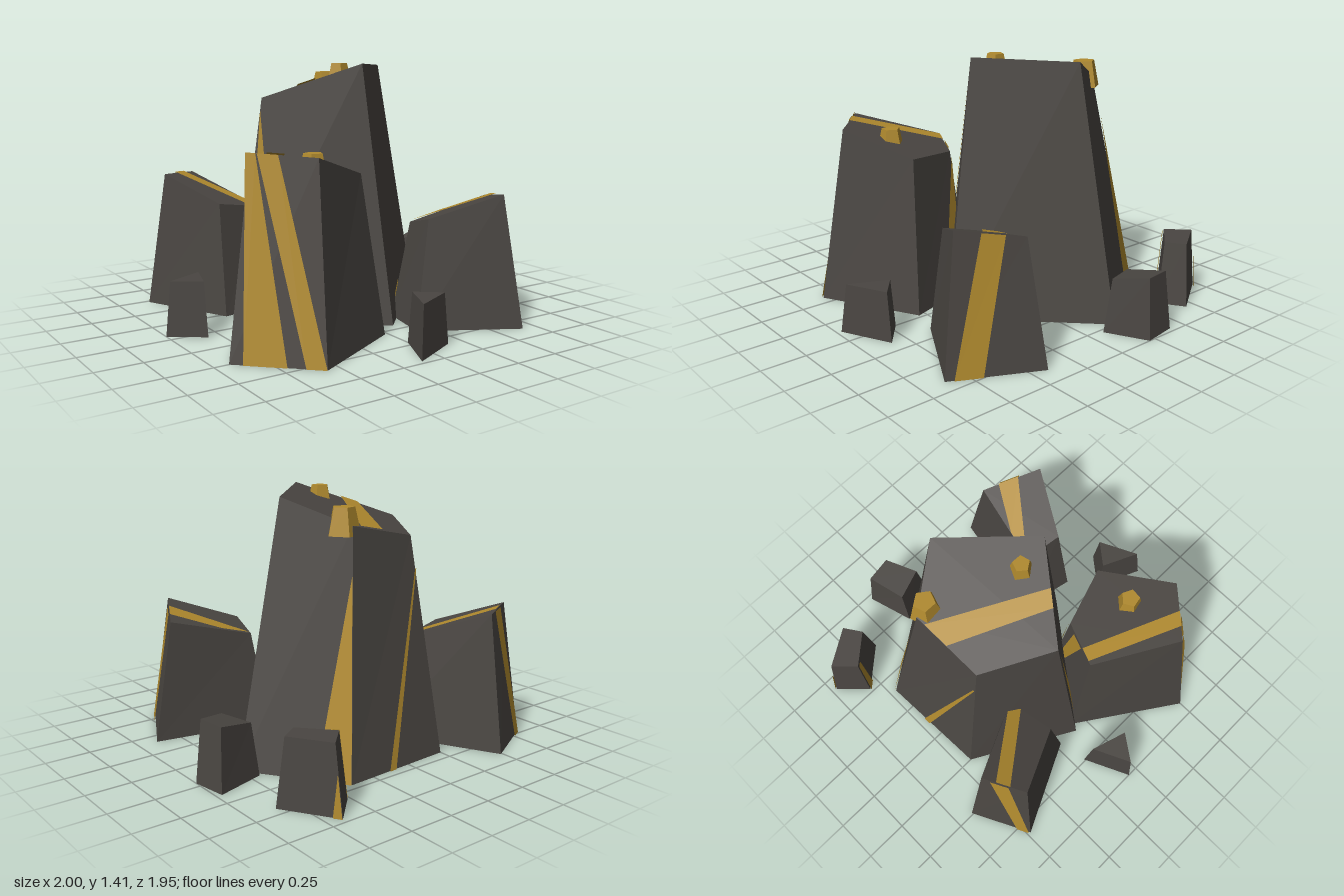
import * as THREE from 'three';

const stone = new THREE.MeshStandardMaterial({ color: 0x4a4642, flatShading: true, side: THREE.DoubleSide });
stone.name = 'dark stone';
const gold = new THREE.MeshStandardMaterial({ color: 0xb08a2e, flatShading: true, side: THREE.DoubleSide });
gold.name = 'gold ore';

const V = (x, y, z) => new THREE.Vector3(x, y, z);

// Mesh from flat polygons, each cut into a fan of triangles
function polyMesh(name, polygons, material) {
  const points = [];
  for (const p of polygons)
    for (let i = 1; i < p.length - 1; i++) points.push(p[0], p[i], p[i + 1]);
  const geometry = new THREE.BufferGeometry().setFromPoints(points);
  geometry.computeVertexNormals();
  const mesh = new THREE.Mesh(geometry, material);
  mesh.name = name;
  return mesh;
}

// Hollow boulder, open below, tapered by k and cut by the sloping plane
// y = height + slopeX x + slopeZ z
class Boulder extends THREE.Group {
  constructor(name, base, k, height, slopeX = 0, slopeZ = 0, leanX = 0, leanZ = 0) {
    super();
    this.name = name;
    this.topHeight = (x, z) => height + slopeX * x + slopeZ * z;
    this.low = base.map(([x, z]) => V(x, 0, z));
    const n = base.length;
    const centre = this.low.reduce((sum, p) => sum.add(p), V(0, 0, 0)).divideScalar(n);
    this.high = this.low.map((p) => {
      const q = centre.clone().lerp(p, k).add(V(leanX, 0, leanZ));
      return q.setY(this.topHeight(q.x, q.z));
    });
    const sides = this.low.map((p, i) => [p, this.low[(i + 1) % n], this.high[(i + 1) % n], this.high[i]]);
    this.add(polyMesh('stoneBody', [...sides, this.high], stone));
  }

  // Point on an outline, counted in sides: 2.5 is halfway along side 2
  along(ring, s) {
    const i = Math.floor(s), n = ring.length;
    return ring[i % n].clone().lerp(ring[(i + 1) % n], s - i);
  }

  // Vein on one side, from foot positions f0-f1 up to head positions h0-h1
  sideVein(side, f0, f1, h0, h1, up = 1) {
    const at = (t, h) => this.low[side].clone().lerp(this.along(this.low, side + 1), t)
      .lerp(this.high[side].clone().lerp(this.along(this.high, side + 1), t), h);
    const origin = at(0, 0);
    const out = at(1, 0).sub(origin).cross(at(0, 1).sub(origin)).normalize().multiplyScalar(0.008);
    const corners = [at(f0, 0), at(f1, 0), at(h1, up), at(h0, up)].map((p) => p.add(out));
    this.add(polyMesh('sideVein', [corners], gold));
    return this;
  }

  // Vein across the top between four places on its rim
  topVein(...places) {
    const corners = places.map((s) => this.along(this.high, s).add(V(0, 0.008, 0)));
    this.add(polyMesh('topVein', [corners], gold));
    return this;
  }

  // Five-sided nugget half sunk into the top
  nugget(x, z, r, turn) {
    const mesh = new THREE.Mesh(new THREE.CylinderGeometry(r * 0.65, r, r * 1.55, 5), gold);
    mesh.name = 'oreNugget';
    mesh.position.set(x, this.topHeight(x, z), z);
    mesh.rotation.y = turn;
    this.add(mesh);
    return this;
  }
}

function mainBoulder() {
  const base = [[-0.58, -0.09], [0.11, 0.44], [0.75, -0.21], [0.4, -0.71], [-0.25, -0.68]];
  return new Boulder('mainBoulder', base, 0.63, 1.344, 0.224, 0.264, -0.05, 0.035)
    .sideVein(0, 0.08, 0.28, 0, 0, 0.95)
    .sideVein(2, 0.69, 1, 1, 1, 0.81)
    .sideVein(3, 0.4, 0.47, 0.98, 1, 0.85)
    .topVein(3.13, 3.5, 0.365, 0.54)
    .nugget(0.24, -0.435, 0.092, 0.3)
    .nugget(0.025, 0.03, 0.072, 0.9);
}

function frontRightBoulder() {
  const base = [[-0.92, 0.5], [-0.57, 0.83], [-0.02, 0.54], [-0.17, 0.075], [-0.53, -0.08]];
  return new Boulder('frontRightBoulder', base, 0.7, 0.748, -0.237, 0.17, 0.012, -0.015)
    .sideVein(0, 0.15, 0.6, -0.06, 0.09)
    .sideVein(0, 0.79, 1, 0.11, 0.42)
    .sideVein(2, 0.5, 0.87, 1, 1, 0.97)
    .sideVein(3, 0, 0, 0.25, 0.6)
    .topVein(3.61, 3.91, 0.25, 0.51)
    .nugget(-0.4, 0.44, 0.08, 0.5);
}

function frontLeftBoulder() {
  const base = [[0.155, 0.59], [0.66, 0.87], [0.89, 0.41], [0.22, 0.28]];
  return new Boulder('frontLeftBoulder', base, 0.7, 0.383, 0.205, 0.288, -0.008, -0.01)
    .sideVein(1, 0.09, 0.37, 0.37, 0.7)
    .sideVein(2, 0.93, 1, 1, 1, 0.4)
    .topVein(2.63, 2.98, 1.39, 1.73);
}

function backRightBoulder() {
  const base = [[-0.49, -0.9], [-0.82, -0.73], [-0.57, -0.215], [-0.17, -0.28]];
  return new Boulder('backRightBoulder', base, 0.69, 0.418, -0.21, -0.298)
    .sideVein(0, 0.78, 0.98, 0.2, 0.6)
    .topVein(0.32, 0.63, 2.73, 3.05);
}

// Small stones around the cluster
function rightPebble() {
  return new Boulder('rightPebble', [[-1, -0.06], [-0.82, 0.07], [-0.74, -0.185]], 0.8, 0.295);
}

function frontPebble() {
  return new Boulder('frontPebble', [[0, 0.71], [-0.12, 0.975], [0.16, 0.84]], 0.8, 0.275);
}

function leftPebble() {
  const base = [[0.775, -0.095], [1, -0.21], [0.97, -0.405], [0.695, -0.325]];
  return new Boulder('leftPebble', base, 0.78, 0.145, 0.2);
}

function backPebble() {
  const base = [[0.52, -0.82], [0.715, -0.6], [0.85, -0.69], [0.67, -0.97]];
  return new Boulder('backPebble', base, 0.75, 0.36)
    .sideVein(0, 0, 0.2, 0, 0.15)
    .sideVein(2, 0.86, 1, 1, 1, 0.6);
}

export function createModel() {
  const model = new THREE.Group();
  model.name = 'goldOreRocks';
  model.add(mainBoulder(), frontRightBoulder(), frontLeftBoulder(), backRightBoulder());
  model.add(rightPebble(), frontPebble(), leftPebble(), backPebble());
  return model;
}
